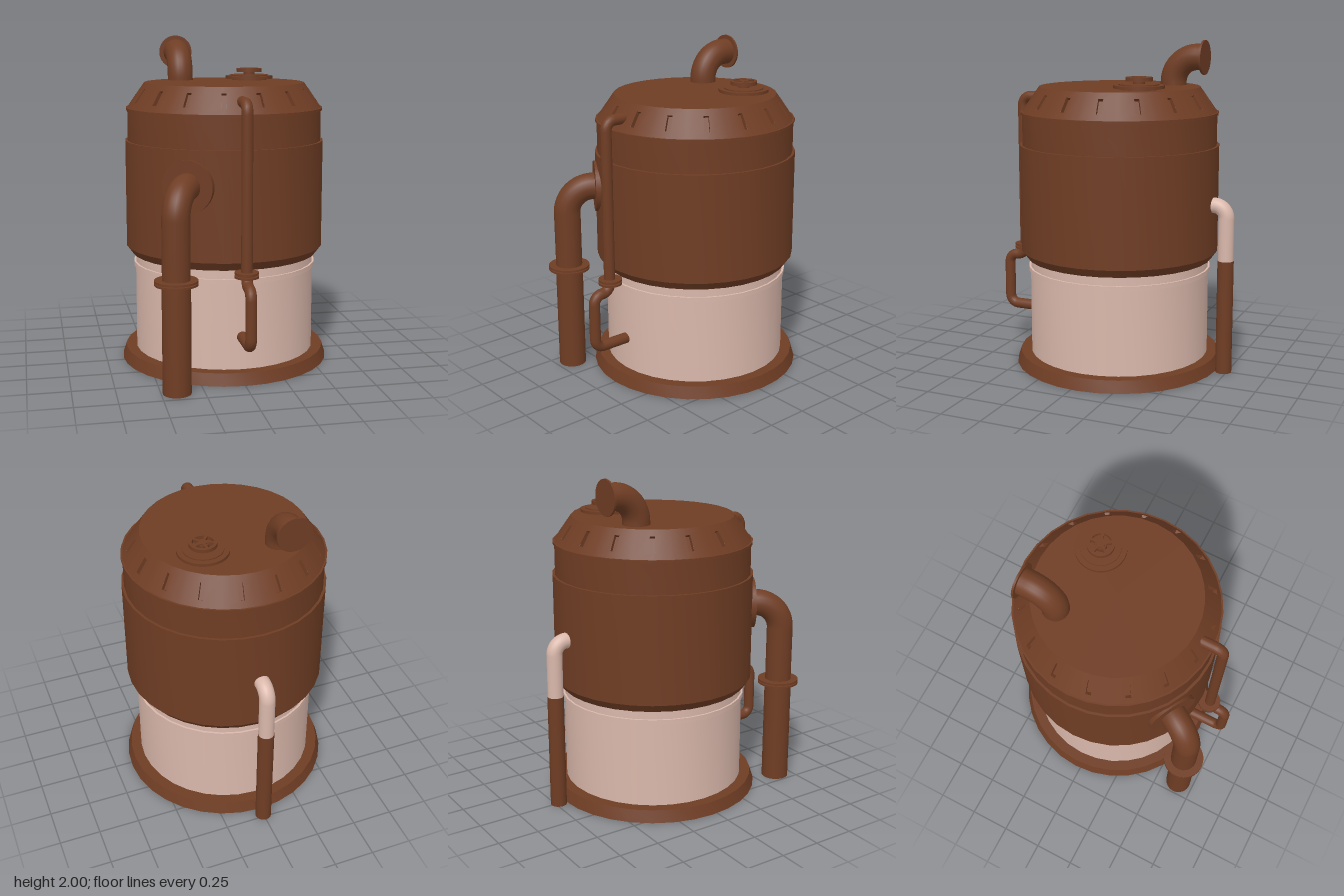
import * as THREE from 'three';
import { toCreasedNormals } from 'three/addons/utils/BufferGeometryUtils.js';

const brown = new THREE.MeshStandardMaterial({ name: 'rust brown', color: 0x6f3d24 });
const pale = new THREE.MeshStandardMaterial({ name: 'pale pink', color: 0xdab8ab });
const V = (x, y, z) => new THREE.Vector3(x, y, z);
const TANK_Z = -0.035;

function mesh(name, geometry, material, parent, x = 0, y = 0, z = 0) {
  const m = new THREE.Mesh(geometry, material);
  m.name = name;
  m.position.set(x, y, z);
  parent.add(m);
  return m;
}

// Turned solid from [radius, height] pairs, listed bottom to top
function turned(profile, segments = 32) {
  const pts = profile.map(([r, y]) => new THREE.Vector2(r, y));
  return toCreasedNormals(new THREE.LatheGeometry(pts, segments), 0.5);
}

// Pipe through corner points, each corner rounded with the given bend radius
function pipe(corners, radius, bend) {
  const path = new THREE.CurvePath();
  let from = corners[0];
  for (let i = 1; i < corners.length - 1; i++) {
    const c = corners[i];
    const toPrev = corners[i - 1].clone().sub(c).normalize();
    const toNext = corners[i + 1].clone().sub(c).normalize();
    const at = (dir, k) => c.clone().addScaledVector(dir, bend * k);
    path.add(new THREE.LineCurve3(from, at(toPrev, 1)));
    path.add(new THREE.CubicBezierCurve3(at(toPrev, 1), at(toPrev, 0.448), at(toNext, 0.448), at(toNext, 1)));
    from = at(toNext, 1);
  }
  path.add(new THREE.LineCurve3(from, corners[corners.length - 1]));
  return new THREE.TubeGeometry(path, 110, radius, 20);
}

const disc = (r, h, n = 32) => new THREE.CylinderGeometry(r, r, h, n);

// Sloped shoulder made of sixteen panels, each with a recessed vent slot
function addShoulder(parent) {
  const y0 = 1.575, y1 = 1.725, r0 = 0.595, r1 = 0.49;
  const half = Math.PI / 16, slot = 0.028;
  const tilt = Math.atan2(r0 - r1, y1 - y0);
  const P = (u, v) => new THREE.Vector2(u, v);
  const shape = new THREE.Shape([P(-half, y0), P(0, y0), P(half, y0), P(half, y1), P(0, y1), P(-half, y1)]);
  shape.holes.push(new THREE.Path([P(-slot, 1.61), P(-slot, 1.69), P(slot, 1.69), P(slot, 1.61)]));
  const panel = new THREE.ShapeGeometry(shape);
  const pos = panel.attributes.position, nor = panel.attributes.normal;
  for (let i = 0; i < pos.count; i++) {
    const a = pos.getX(i), y = pos.getY(i);
    const r = r0 + (r1 - r0) * (y - y0) / (y1 - y0);
    pos.setXYZ(i, r * Math.sin(a), y, r * Math.cos(a));
    nor.setXYZ(i, Math.cos(tilt) * Math.sin(a), Math.sin(tilt), Math.cos(tilt) * Math.cos(a));
  }
  // inside-out box lining the slot
  const pocket = new THREE.BoxGeometry(0.0304, 0.098, 0.025).toNonIndexed();
  pocket.translate(0, 0, -0.0125);
  pocket.scale(-1, 1, 1);
  pocket.computeVertexNormals();
  pocket.rotateX(-tilt);
  pocket.translate(0, 1.65, 0.5425);

  for (let i = 0; i < 16; i++) {
    const a = (i + 0.5) * Math.PI / 8;
    mesh('shoulderPanel', panel, brown, parent).rotation.y = a;
    mesh('ventSlot', pocket, brown, parent).rotation.y = a;
  }
}

function addTank(root) {
  const tank = new THREE.Group();
  tank.name = 'tank';
  tank.position.z = TANK_Z;
  root.add(tank);
  mesh('base', turned([[0, 0], [0.645, 0], [0.622, 0.072], [0, 0.072]]), brown, tank);
  mesh('lowerDrum', turned([[0.557, 0.07], [0.557, 0.592], [0.567, 0.592], [0.567, 0.62],
    [0.555, 0.62], [0.555, 0.69]]), pale, tank);
  mesh('upperDrum', turned([[0.54, 0.675], [0.575, 0.675], [0.612, 0.725], [0.612, 1.375], [0.597, 1.375],
    [0.597, 1.56], [0.605, 1.56], [0.605, 1.575], [0.595, 1.575]]), brown, tank);
  addShoulder(tank);
  mesh('lid', turned([[0.49, 1.725], [0, 1.725]]), brown, tank);
}

// Round hatch with a five-spoke handwheel
function addHatch(root) {
  const hatch = new THREE.Group();
  hatch.name = 'hatch';
  hatch.position.set(0.205, 1.725, -0.245);
  root.add(hatch);
  mesh('hatchCover', turned([[0.11, 0], [0.11, 0.008], [0.15, 0.008], [0.15, 0.026], [0.118, 0.026],
    [0.118, 0.033], [0, 0.033]]), brown, hatch);
  mesh('wheelStem', disc(0.035, 0.04, 16), brown, hatch, 0, 0.045, 0);
  const wheel = new THREE.Shape().absarc(0, 0, 0.08, 0, Math.PI * 2);
  for (let i = 0; i < 5; i++) {
    const a = Math.PI / 2 + (i + 0.5) * Math.PI * 0.4;
    const hole = new THREE.Path();
    hole.absarc(0, 0, 0.062, a - 0.5, a + 0.5, false);
    hole.absarc(0, 0, 0.024, a + 0.3, a - 0.3, true);
    hole.closePath();
    wheel.holes.push(hole);
  }
  const wheelGeo = new THREE.ExtrudeGeometry(wheel, { depth: 0.022, bevelEnabled: false, curveSegments: 20 });
  wheelGeo.rotateX(-Math.PI / 2);
  mesh('handwheel', toCreasedNormals(wheelGeo, 0.5), brown, hatch, 0, 0.05, 0);
}

// Large pipe rising beside the tank and entering its wall
function addSidePipe(root) {
  const g = new THREE.Group();
  g.name = 'sidePipe';
  g.position.z = TANK_Z;
  g.rotation.y = -0.54;
  root.add(g);
  const d = 0.793;
  mesh('sidePipeLower', disc(0.083, 0.65), brown, g, 0, 0.325, d);
  mesh('sidePipeUpper', pipe([V(0, 0.64, d), V(0, 1.165, d), V(0, 1.165, 0.57)], 0.081, 0.16), brown, g);
  for (const [r, y] of [[0.125, 0.643], [0.1, 0.652], [0.125, 0.66]])
    mesh('sidePipeFlange', disc(r, 0.012), brown, g, 0, y, d);
  mesh('wallFlange', disc(0.155, 0.045), brown, g, 0, 1.165, 0.6).rotation.x = Math.PI / 2;
}

// Thin pipe running from the shoulder down the front
function addFrontPipe(root) {
  const g = new THREE.Group();
  g.name = 'frontPipe';
  root.add(g);
  mesh('frontPipeTube', pipe([V(0, 1.642, 0.49), V(0, 1.642, 0.632), V(0, 0.605, 0.632),
    V(0, 0.605, 0.747), V(0, 0.27, 0.747), V(0, 0.27, 0.5)], 0.033, 0.055), brown, g);
  mesh('frontPipeFlange', disc(0.07, 0.012), brown, g, 0, 0.681, 0.627);
  mesh('frontPipeFlange', disc(0.055, 0.028), brown, g, 0, 0.663, 0.627);
  mesh('frontPipeFlange', disc(0.07, 0.012), brown, g, 0, 0.66, 0.627);
}

// Two-tone pipe at the back
function addBackPipe(root) {
  const z = -0.728;
  mesh('backPipeLower', disc(0.049, 0.7, 24), brown, root, 0, 0.35, z);
  mesh('backPipeUpper', pipe([V(0, 0.69, z), V(0, 1.033, z), V(0, 1.033, -0.6)], 0.047, 0.075), pale, root);
}

// Elbow outlet on the lid, facing backwards
function addOutlet(root) {
  const x = -0.23;
  mesh('outletElbow', pipe([V(x, 1.7, -0.3), V(x, 1.897, -0.3), V(x, 1.897, -0.498)], 0.08, 0.155), brown, root);
  mesh('outletFlange', disc(0.105, 0.012), brown, root, x, 1.895, -0.498).rotation.x = Math.PI / 2;
}

export function createModel() {
  const root = new THREE.Group();
  root.name = 'storageTank';
  addTank(root);
  addHatch(root);
  addSidePipe(root);
  addFrontPipe(root);
  addBackPipe(root);
  addOutlet(root);
  return root;
}
